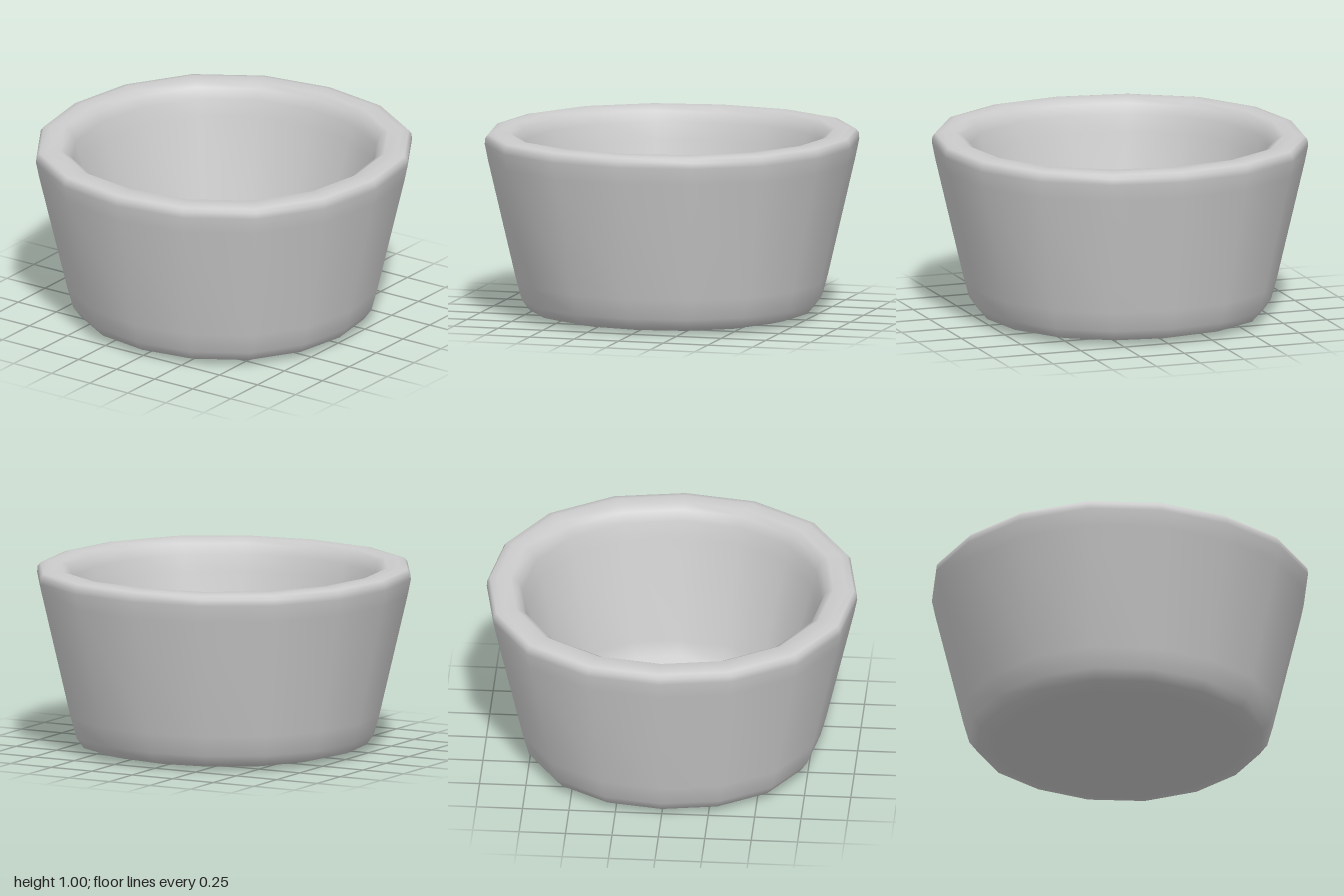
import * as THREE from 'three';
import { mergeVertices } from 'three/addons/utils/BufferGeometryUtils.js';

export function createModel() {
  const group = new THREE.Group();
  group.name = 'bowl';

  // Wall profile: underside, outer wall, rounded rim, inner wall, floor
  const profile = [
    [0, 0], [0.4, 0.004], [0.67, 0.012], [0.76, 0.035], [0.80, 0.09], [0.83, 0.2],
    [0.98, 0.85], [0.998, 0.94], [0.995, 0.972], [0.98, 0.992], [0.94, 1],
    [0.87, 0.998], [0.83, 0.975], [0.805, 0.92], [0.78, 0.83],
    [0.635, 0.28], [0.605, 0.2], [0.575, 0.168], [0.53, 0.16], [0.3, 0.16], [0, 0.16],
  ].map(([r, y]) => new THREE.Vector2(r, y));

  let geometry = new THREE.LatheGeometry(profile, 16);

  // Push the diagonals out a little, so the outline is slightly squarish
  const pos = geometry.attributes.position;
  for (let i = 0; i < pos.count; i++) {
    const x = pos.getX(i), z = pos.getZ(i);
    const k = 1 + 0.027 * Math.sin(2 * Math.atan2(z, x)) ** 2;
    pos.setX(i, x * k);
    pos.setZ(i, z * k);
  }

  // Weld the seam for smooth shading all round
  geometry.deleteAttribute('uv');
  geometry.deleteAttribute('normal');
  geometry = mergeVertices(geometry, 1e-4);
  geometry.computeVertexNormals();

  const bowl = new THREE.Mesh(geometry, new THREE.MeshStandardMaterial({ color: 0xcccccc }));
  bowl.name = 'bowlBody';
  group.add(bowl);
  return group;
}
